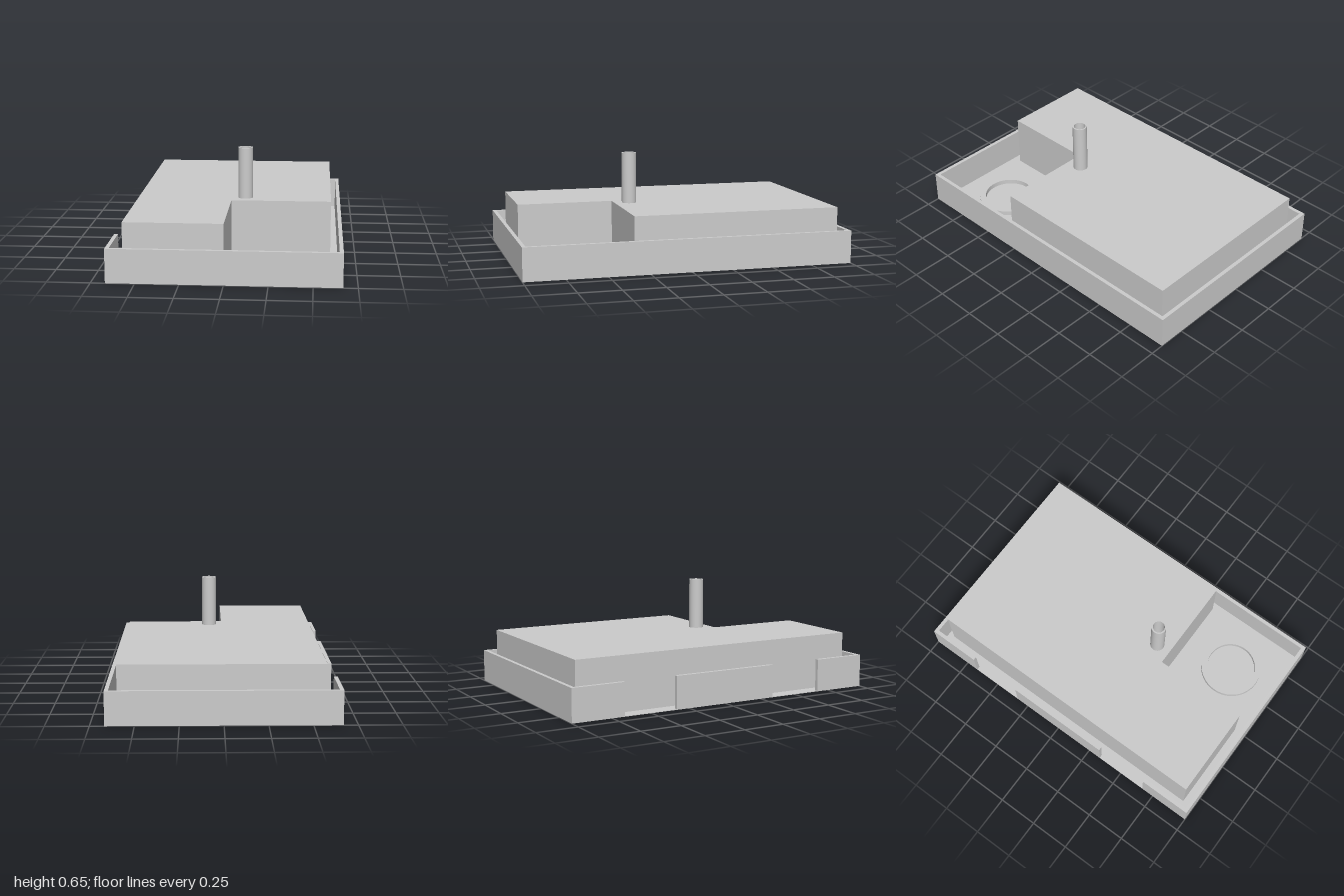
import * as THREE from 'three';

const material = new THREE.MeshStandardMaterial({ color: 0xcccccc });

export function createModel() {
  const group = new THREE.Group();
  const add = (name, geometry, x = 0, y = 0, z = 0) => {
    const mesh = new THREE.Mesh(geometry, material);
    mesh.name = name;
    mesh.position.set(x, y, z);
    group.add(mesh);
    return mesh;
  };
  // Box from its min and max corners
  const box = (name, x0, x1, y0, y1, z0, z1) =>
    add(name, new THREE.BoxGeometry(x1 - x0, y1 - y0, z1 - z0),
      (x0 + x1) / 2, (y0 + y1) / 2, (z0 + z1) / 2);
  // Hollow upright tube standing on y = 0 of its own frame
  const ring = (outer, inner, height, sides) => new THREE.LatheGeometry(
    [[inner, 0], [outer, 0], [outer, 0], [outer, height], [outer, height],
      [inner, height], [inner, height], [inner, 0]].map(([r, y]) => new THREE.Vector2(r, y)), sides);

  const W = 0.667, D = 1, H = 0.2, T = 0.023, F = 0.003;

  // Tray: thin floor and surrounding walls, with two openings on the right
  box('trayFloor', -W, W, 0, F, -D, D);
  box('frontWall', -W, W, F, H, D - T, D);
  box('backWall', -W, W, F, H, -D, -D + T);
  box('leftWall', W - T, W, F, H, -D + T, D - T);
  for (const [z0, z1] of [[-D + T, -0.67], [-0.333, 0.333], [0.67, D - T]]) {
    box('rightWallSection', -W, -W + T, F, H, z0, z1);
  }

  // L-shaped block, drawn in x and -z and raised upward
  const outline = [[-0.578, -0.925], [-0.003, -0.925], [-0.003, -0.333],
    [0.6, -0.333], [0.6, 0.935], [-0.578, 0.935]];
  const shape = new THREE.Shape(outline.map(([x, y]) => new THREE.Vector2(x, y)));
  const top = 0.336;
  const block = new THREE.ExtrudeGeometry(shape, { depth: top - F, bevelEnabled: false });
  block.rotateX(-Math.PI / 2);
  add('block', block, 0, F, 0);

  // Hollow pipe on the block
  add('pipe', ring(0.045, 0.036, 0.648 - top, 48), 0.077, top, 0.24);

  // Low ring on the floor in the notch
  add('floorRing', ring(0.194, 0.155, 0.03, 64), 0.33, F, 0.665);

  return group;
}
